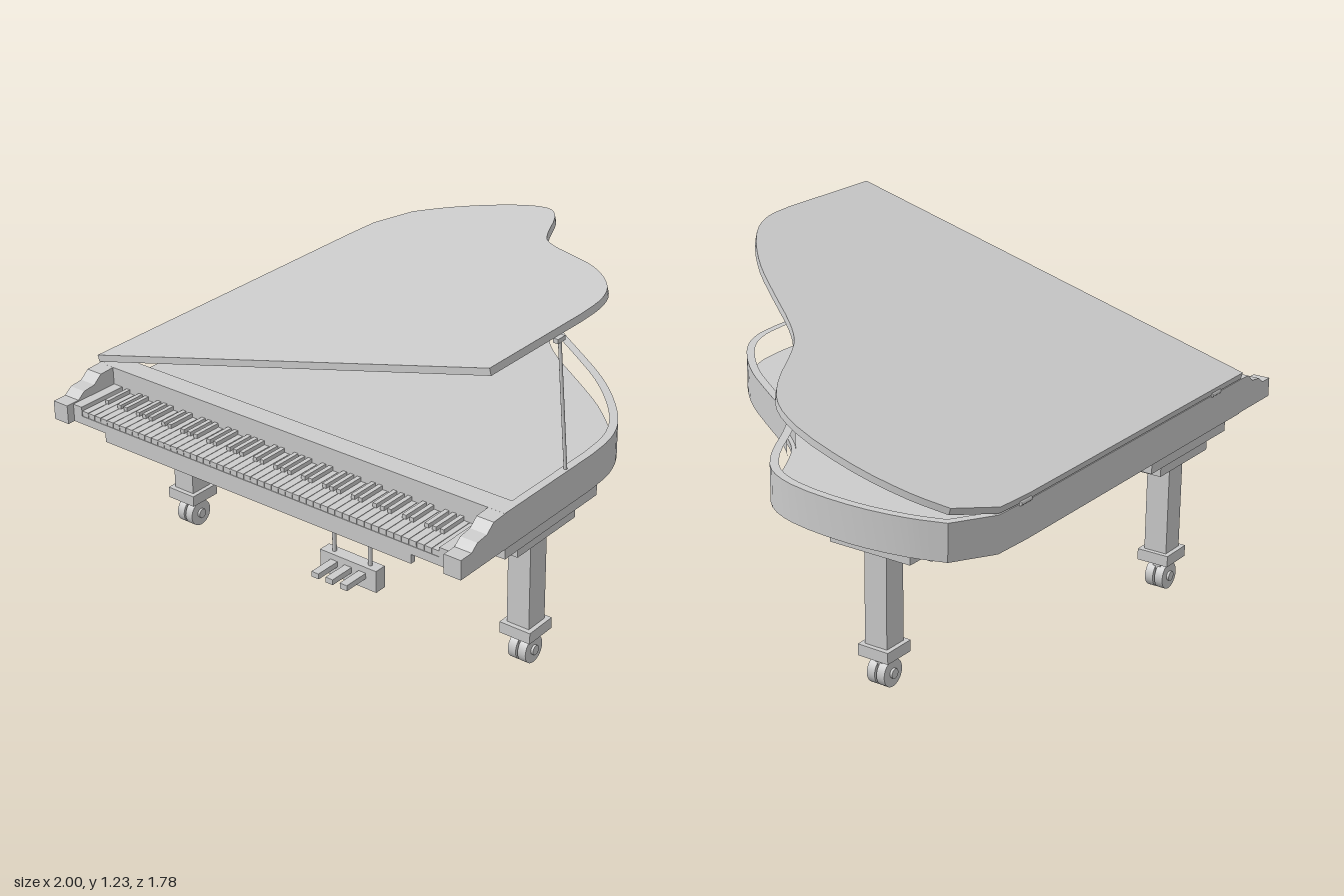
import * as THREE from 'three';
import { toCreasedNormals } from 'three/addons/utils/BufferGeometryUtils.js';

const mat = new THREE.MeshStandardMaterial({ color: 0xcccccc });

function add(parent, name, geo, x = 0, y = 0, z = 0) {
  const m = new THREE.Mesh(geo, mat);
  m.name = name;
  m.position.set(x, y, z);
  parent.add(m);
  return m;
}

// Box given by its lower and upper limits
function box(parent, name, x0, x1, y0, y1, z0, z1) {
  return add(parent, name, new THREE.BoxGeometry(x1 - x0, y1 - y0, z1 - z0),
    (x0 + x1) / 2, (y0 + y1) / 2, (z0 + z1) / 2);
}

// Round bar between two points
function rod(parent, name, a, b, r) {
  const d = b.clone().sub(a);
  const m = add(parent, name, new THREE.CylinderGeometry(r, r, d.length(), 12));
  m.position.copy(a).addScaledVector(d, 0.5);
  m.quaternion.setFromUnitVectors(new THREE.Vector3(0, 1, 0), d.normalize());
  return m;
}

// Plan outline of the case as [x, z]: spine, rounded tail, then the bent side
const straight = [[-0.77, -0.887], [0.64, -0.887], [0.79, -0.88], [0.935, -0.79]];
const bent = new THREE.CatmullRomCurve3([
  [0.935, -0.79], [0.975, -0.66], [0.998, -0.45], [0.972, -0.2], [0.912, -0.07],
  [0.8, 0.025], [0.62, 0.122], [0.53, 0.18], [0.45, 0.268], [0.33, 0.44], [0.21, 0.605],
  [0.08, 0.74], [-0.04, 0.83], [-0.15, 0.872], [-0.28, 0.885],
].map(([x, z]) => new THREE.Vector3(x, 0, z))).getPoints(42).slice(1).map(p => [p.x, p.z]);
const outline = [...straight, ...bent, [-0.77, 0.885]];

// Inset of the outline along mitred normals
function inset(pts, d) {
  const n = pts.length;
  const normal = (a, b) => new THREE.Vector2(a[1] - b[1], b[0] - a[0]).normalize();
  return pts.map((p, i) => {
    const n1 = normal(pts[(i + n - 1) % n], p), n2 = normal(p, pts[(i + 1) % n]);
    const k = d / (1 + n1.dot(n2));
    return [p[0] + (n1.x + n2.x) * k, p[1] + (n1.y + n2.y) * k];
  });
}

// Horizontal slab standing on y = 0, extruded from a plan outline
function slab(pts, height, hole) {
  const vec = a => a.map(([x, z]) => new THREE.Vector2(x, -z));
  const shape = new THREE.Shape(vec(pts));
  if (hole) shape.holes.push(new THREE.Path(vec(hole)));
  const geo = new THREE.ExtrudeGeometry(shape, { depth: height, bevelEnabled: false });
  return toCreasedNormals(geo.rotateX(-Math.PI / 2), 0.45);
}

// Square leg with stepped top plates, foot block and a twin-wheel caster
function leg(parent, name, x, z, px, pz) {
  const g = new THREE.Group();
  g.name = name;
  g.position.set(x, 0, z);
  parent.add(g);
  const block = (label, w, d, y0, y1) => box(g, label, -w / 2, w / 2, y0, y1, -d / 2, d / 2);
  block('upperPlate', px[0], pz[0], 0.55, 0.612);
  block('lowerPlate', px[1], pz[1], 0.503, 0.55);
  block('column', 0.092, 0.09, 0.155, 0.503);
  block('footBlock', 0.128, 0.124, 0.113, 0.155);
  block('casterFork', 0.06, 0.03, 0.06, 0.113);
  for (const s of [-1, 1]) {
    add(g, 'casterWheel', new THREE.CylinderGeometry(0.05, 0.05, 0.032, 24).rotateX(Math.PI / 2), 0, 0.05, s * 0.02);
  }
  add(g, 'axle', new THREE.CylinderGeometry(0.018, 0.018, 0.09, 12).rotateX(Math.PI / 2), 0, 0.05, 0);
}

export function createModel() {
  const root = new THREE.Group();
  root.name = 'grandPiano';

  // Case: hollow rim, floor inside it, and the wall behind the keys
  const inner = inset(outline, 0.03).map(([x, z]) => [Math.max(x, -0.69), z]);
  add(root, 'rim', slab(outline, 0.133, inner), 0, 0.612, 0);
  add(root, 'soundboard', slab(inset(outline, 0.015), 0.026), 0, 0.614, 0);

  // Lid, raised about the hinges on the straight side
  const lid = new THREE.Group();
  lid.name = 'lid';
  lid.position.set(0, 0.748, -0.887);
  lid.rotation.x = -0.261;
  add(lid, 'lidPanel', slab(outline, 0.025), 0, 0, 0.887);
  root.add(lid);
  for (const x of [-0.58, 0.65]) {
    add(root, 'hinge', new THREE.CylinderGeometry(0.009, 0.009, 0.06, 12).rotateZ(Math.PI / 2), x, 0.748, -0.885);
  }

  // Prop stick
  rod(root, 'propStick', new THREE.Vector3(-0.415, 0.735, 0.872), new THREE.Vector3(-0.415, 1.2, 0.834), 0.006);
  box(root, 'propHead', -0.435, -0.395, 1.19, 1.206, 0.822, 0.842);

  // Keyboard: bed, arms and end blocks
  box(root, 'keyBed', -0.97, -0.765, 0.614, 0.645, -0.83, 0.83);
  box(root, 'underRail', -0.97, -0.95, 0.58, 0.614, -0.67, 0.67);
  const arm = new THREE.Shape([[-1, 0.614], [-0.765, 0.614], [-0.765, 0.745], [-0.83, 0.742],
    [-0.865, 0.714], [-0.915, 0.708], [-0.945, 0.685], [-1, 0.685]].map(p => new THREE.Vector2(...p)));
  for (const s of [-1, 1]) {
    const geo = new THREE.ExtrudeGeometry(arm, { depth: 0.066, bevelEnabled: false });
    add(root, 'keyboardArm', geo, 0, 0, s * 0.853 - 0.033);
    box(root, 'keyEndBlock', -0.97, -0.765, 0.645, 0.68, s * 0.801 - 0.021, s * 0.801 + 0.021);
  }

  // Keys, lowest note on the straight side
  const pitch = 1.56 / 52;
  const keys = new THREE.Group();
  keys.name = 'keys';
  root.add(keys);
  for (let i = 0; i < 52; i++) {
    const z = -0.78 + i * pitch;
    box(keys, 'whiteKey', -0.968, -0.765, 0.645, 0.665, z + 0.001, z + pitch - 0.001);
    // Sharps follow A, C, D, F and G, counting from A
    if (i < 51 && [0, 2, 3, 5, 6].includes(i % 7)) {
      box(keys, 'blackKey', -0.877, -0.765, 0.66, 0.68, z + pitch - 0.008, z + pitch + 0.008);
    }
  }

  // Legs: two beside the keyboard, one under the tail
  leg(root, 'frontLeg', -0.467, 0.765, [0.526, 0.33], [0.19, 0.152]);
  leg(root, 'spineLeg', -0.467, -0.757, [0.526, 0.33], [0.19, 0.152]);
  leg(root, 'tailLeg', 0.75, -0.403, [0.19, 0.152], [0.525, 0.325]);

  // Pedal box hung on two rods, with three pedals
  box(root, 'pedalBox', -0.467, -0.417, 0.015, 0.103, -0.137, 0.12);
  for (const z of [0.075, -0.09]) {
    rod(root, 'pedalRod', new THREE.Vector3(-0.442, 0.1, z), new THREE.Vector3(-0.442, 0.62, z), 0.008);
  }
  for (const i of [-1, 0, 1]) {
    const z = -0.008 + i * 0.065;
    box(root, 'pedal', -0.573, -0.46, 0.057, 0.079, z - 0.016, z + 0.016);
  }
  return root;
}
